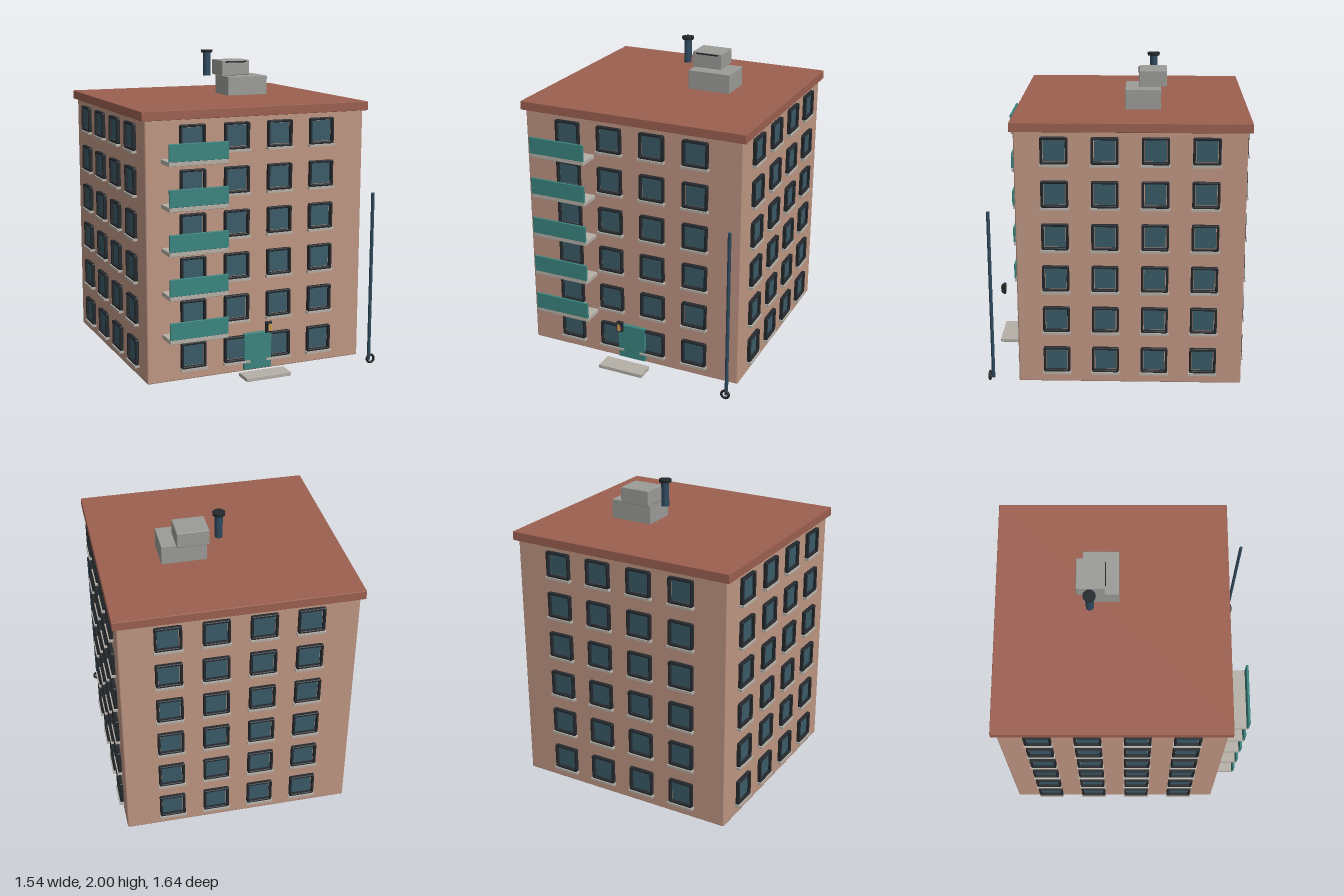
import * as THREE from 'three';
import { RoundedBoxGeometry } from 'three/addons/geometries/RoundedBoxGeometry.js';

const mat = (color) => new THREE.MeshStandardMaterial({ color });
const wallMat = mat(0xbf9683), roofMat = mat(0x9c6050), tealMat = mat(0x3b8580);
const glassMat = mat(0x3a5b68), darkMat = mat(0x24282c), stoneMat = mat(0xb5b0a7);
const greyMat = mat(0x9b9b98), steelMat = mat(0x2f4a5e), lampMat = mat(0xd09a55);

const FLOOR = 0.273, FIRST = 0.164; // storey height, centre of the lowest windows
const X = 0.74, FRONT = 0.62, BACK = -0.79, MID = (FRONT + BACK) / 2;

function add(parent, name, geometry, material, x = 0, y = 0, z = 0) {
  const mesh = new THREE.Mesh(geometry, material);
  mesh.name = name;
  mesh.position.set(x, y, z);
  parent.add(mesh);
  return mesh;
}

// Box given by its limits on each axis, with softly rounded edges
function block(parent, name, material, [x0, x1], [y0, y1], [z0, z1], r = 0.003) {
  const geometry = new RoundedBoxGeometry(x1 - x0, y1 - y0, z1 - z0, 1, r);
  return add(parent, name, geometry, material, (x0 + x1) / 2, (y0 + y1) / 2, (z0 + z1) / 2);
}

function roundedSquare(path, h, r) {
  path.moveTo(-h + r, -h);
  path.lineTo(h - r, -h).quadraticCurveTo(h, -h, h, -h + r);
  path.lineTo(h, h - r).quadraticCurveTo(h, h, h - r, h);
  path.lineTo(-h + r, h).quadraticCurveTo(-h, h, -h, h - r);
  path.lineTo(-h, -h + r).quadraticCurveTo(-h, -h, -h + r, -h);
  return path;
}

// Shared window geometry, facing +z with the wall at z = 0
const frameShape = roundedSquare(new THREE.Shape(), 0.081, 0.008);
frameShape.holes.push(roundedSquare(new THREE.Path(), 0.072, 0.005));
const frameGeo = new THREE.ExtrudeGeometry(frameShape, {
  depth: 0.02, curveSegments: 3, bevelEnabled: true,
  bevelThickness: 0.003, bevelSize: 0.003, bevelSegments: 1,
});
const glassGeo = new THREE.BoxGeometry(0.13, 0.13, 0.012);
const sillGeo = new THREE.BoxGeometry(0.178, 0.015, 0.036);

function makeWindow() {
  const g = new THREE.Group();
  g.name = 'window';
  add(g, 'windowFrame', frameGeo, darkMat);
  add(g, 'windowGlass', glassGeo, glassMat);
  add(g, 'windowSill', sillGeo, stoneMat, 0, -0.09, 0.012);
  return g;
}

// Grid of windows, six storeys by four columns, on one wall
function facade(name, x, z, angle, spacing) {
  const g = new THREE.Group();
  g.name = name;
  g.position.set(x, 0, z);
  g.rotation.y = angle;
  for (let floor = 0; floor < 6; floor++) {
    for (let col = 0; col < 4; col++) {
      const w = makeWindow();
      w.position.set((col - 1.5) * spacing, FIRST + floor * FLOOR, 0);
      g.add(w);
    }
  }
  return g;
}

export function createModel() {
  const model = new THREE.Group();
  model.name = 'apartmentBlock';

  // Body and roof slab
  block(model, 'walls', wallMat, [-X, X], [0.005, 1.648], [BACK, FRONT], 0.008);
  block(model, 'roof', roofMat, [-0.765, 0.765], [1.645, 1.702], [-0.816, 0.643]);

  // Windows on all four sides
  model.add(
    facade('frontWindows', 0, FRONT, 0, 0.292),
    facade('backWindows', 0, BACK, Math.PI, 0.292),
    facade('leftWindows', X, MID, Math.PI / 2, 0.307),
    facade('rightWindows', -X, MID, -Math.PI / 2, 0.307),
  );

  // Balconies on the upper five storeys
  for (let floor = 1; floor < 6; floor++) {
    const y = FIRST + floor * FLOOR;
    const balcony = new THREE.Group();
    balcony.name = 'balcony';
    block(balcony, 'balconySlab', stoneMat, [-0.64, -0.257], [y - 0.145, y - 0.117], [0.61, 0.76]);
    block(balcony, 'balconyParapet', tealMat, [-0.64, -0.257], [y - 0.118, y - 0.01], [0.748, 0.763]);
    model.add(balcony);
  }

  // Entrance: door, step and lamp
  block(model, 'door', tealMat, [-0.096, 0.094], [0.02, 0.258], [0.61, 0.644]);
  block(model, 'doorStep', stoneMat, [-0.156, 0.152], [0.005, 0.03], [0.695, 0.815]);
  const lamp = new THREE.Group();
  lamp.name = 'entranceLamp';
  block(lamp, 'lampBack', darkMat, [-0.024, 0.02], [0.306, 0.378], [0.79, 0.808], 0.004);
  block(lamp, 'lampFront', darkMat, [-0.018, 0.014], [0.313, 0.371], [0.8, 0.82], 0.004);
  block(lamp, 'lampGlass', lampMat, [-0.014, 0.01], [0.32, 0.365], [0.81, 0.823], 0.002);
  model.add(lamp);

  // Standpipe with a ring at its foot
  add(model, 'standpipe', new THREE.CylinderGeometry(0.011, 0.011, 1.11, 16), steelMat, 0.732, 0.58, 0.787);
  add(model, 'pipeRing', new THREE.TorusGeometry(0.025, 0.008, 10, 24), darkMat, 0.732, 0.038, 0.808);

  // Rooftop plant
  block(model, 'plantBase', greyMat, [0.09, 0.377], [1.7, 1.827], [-0.27, -0.045]);
  block(model, 'plantUnit', greyMat, [0.082, 0.285], [1.828, 1.93], [-0.307, -0.13], 0.005);
  block(model, 'plantVent', darkMat, [0.105, 0.262], [1.915, 1.925], [-0.14, -0.125], 0.002);

  // Flue pipe with its cap
  add(model, 'flue', new THREE.CylinderGeometry(0.025, 0.025, 0.16, 20), steelMat, 0.007, 1.907, -0.222);
  add(model, 'flueCap', new THREE.CylinderGeometry(0.04, 0.038, 0.018, 24), darkMat, 0.007, 1.991, -0.222);

  return model;
}
